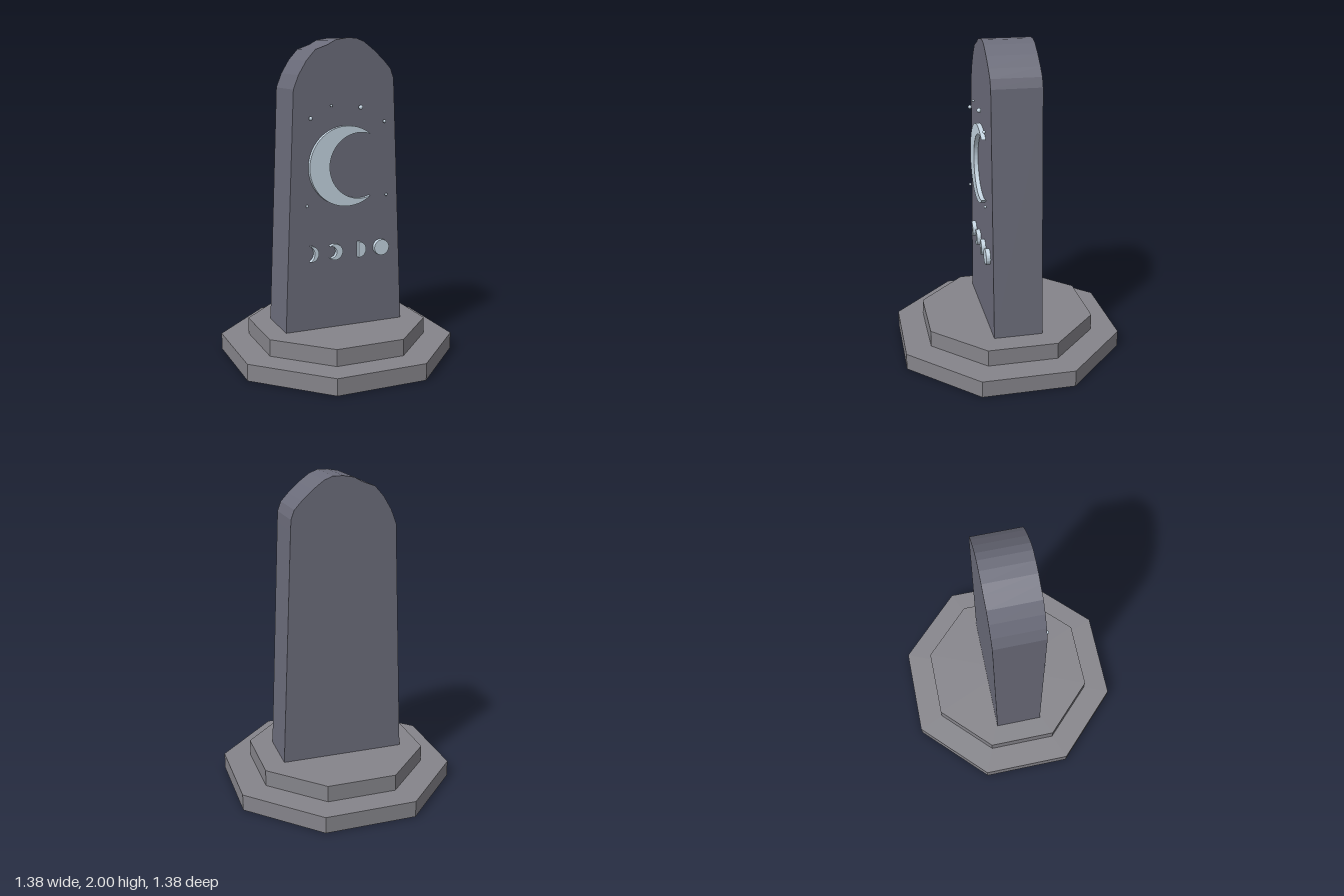
import * as THREE from 'three';
import { toCreasedNormals } from 'three/addons/utils/BufferGeometryUtils.js';

const baseMat = new THREE.MeshStandardMaterial({ color: 0x85848a, flatShading: true });
const slabMat = new THREE.MeshStandardMaterial({ color: 0x6b6c7a, flatShading: true });
const moonMat = new THREE.MeshStandardMaterial({ color: 0xc5d5e2 });
const FRONT = 0.153; // z of the slab's front face

function add(parent, name, geometry, material, x = 0, y = 0, z = 0) {
  const mesh = new THREE.Mesh(geometry, material);
  mesh.name = name;
  mesh.position.set(x, y, z);
  parent.add(mesh);
  return mesh;
}

// Disc of radius R with a circle of radius r, centred at x = c, cut away; opens to +x
function crescentShape(R, c, r) {
  const tx = (R * R - r * r + c * c) / (2 * c);
  const ty = Math.sqrt(R * R - tx * tx);
  const a = Math.atan2(ty, tx);
  const b = Math.atan2(ty, tx - c);
  const shape = new THREE.Shape();
  shape.absarc(0, 0, R, a, 2 * Math.PI - a, false);
  shape.absarc(c, 0, r, 2 * Math.PI - b, b, true);
  return shape;
}

function relief(shape, curveSegments) {
  const geometry = new THREE.ExtrudeGeometry(shape, { depth: 0.034, bevelEnabled: false, curveSegments });
  return toCreasedNormals(geometry, 0.6);
}

export function createModel() {
  const model = new THREE.Group();
  model.name = 'moonStone';

  // Two octagonal steps
  const step = (name, apothem, bottom, top) => {
    const radius = apothem / Math.cos(Math.PI / 8);
    const geometry = new THREE.CylinderGeometry(radius, radius, top - bottom, 8);
    geometry.rotateY(Math.PI / 8);
    add(model, name, geometry, baseMat, 0, (top + bottom) / 2, 0);
  };
  step('lowerStep', 0.692, 0, 0.105);
  step('upperStep', 0.528, 0.105, 0.21);

  // Tapered standing slab with a worn, rounded top
  const outline = [
    [-0.4, 0.2], [0.39, 0.2], [0.322, 1.69], [0.318, 1.76], [0.297, 1.817], [0.25, 1.868],
    [0.185, 1.928], [0.115, 1.98], [0.062, 2], [0, 2], [-0.07, 1.988], [-0.12, 1.96],
    [-0.198, 1.932], [-0.255, 1.868], [-0.305, 1.785], [-0.338, 1.7],
  ].map(([x, y]) => new THREE.Vector2(x, y));
  const slab = new THREE.ExtrudeGeometry(new THREE.Shape(outline), { depth: 2 * FRONT, bevelEnabled: false });
  add(model, 'slab', slab, slabMat, 0, 0, -FRONT);

  // Large crescent
  const z = FRONT - 0.007;
  add(model, 'largeCrescent', relief(crescentShape(0.247, 0.087, 0.204), 48), moonMat, 0, 1.231, z);

  // Row of four moon phases
  const half = new THREE.Shape();
  half.absarc(0, 0, 0.05, Math.PI / 2, 1.5 * Math.PI, false);
  const full = new THREE.Shape();
  full.absarc(0, 0, 0.05, 0, 2 * Math.PI, false);
  const phases = [
    ['thinCrescent', crescentShape(0.05, 0.035, 0.058)],
    ['wideCrescent', crescentShape(0.05, 0.027, 0.0374)],
    ['halfMoon', half],
    ['fullMoon', full],
  ];
  phases.forEach(([name, shape], i) => {
    const moon = add(model, name, relief(shape, 24), moonMat, -0.24 + i * 0.159, 0.7, z);
    moon.rotation.z = Math.PI; // lit side to +x
  });

  // Small round stars
  const stars = new THREE.Group();
  stars.name = 'stars';
  model.add(stars);
  const spots = [
    [-0.24, 1.53, 0.012], [-0.107, 1.602, 0.008], [0.086, 1.587, 0.014],
    [0.246, 1.497, 0.01], [-0.266, 1.002, 0.009], [0.263, 1.038, 0.009],
  ];
  for (const [x, y, r] of spots) {
    add(stars, 'star', new THREE.SphereGeometry(r, 12, 8), moonMat, x, y, 0.18);
  }
  return model;
}
